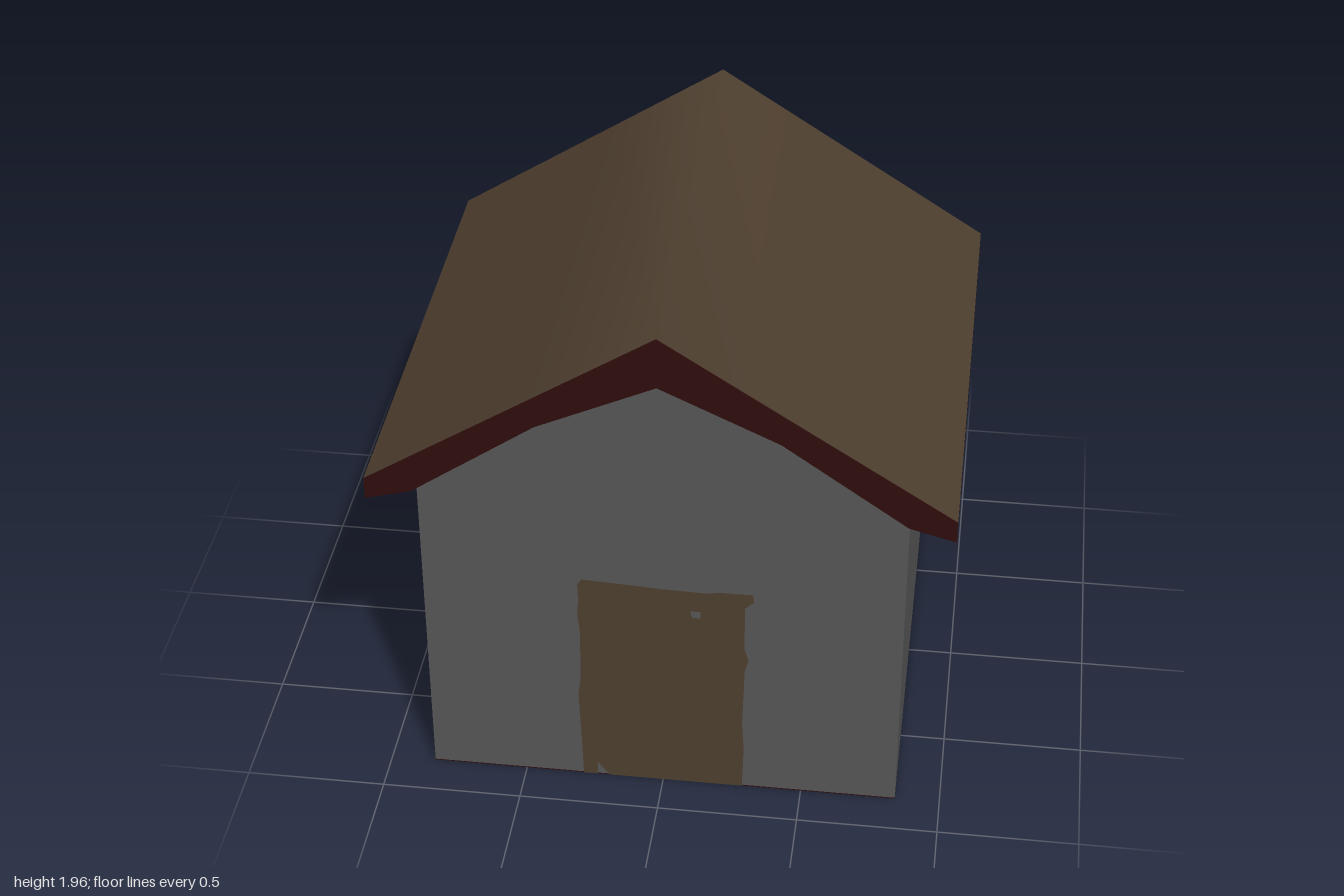
import * as THREE from 'three';

const HALF_WALL = 0.84, WALL_Z = 0.845, ROOF_Z = 0.93, FLOOR = 0.004;

function material(name, color) {
  const m = new THREE.MeshStandardMaterial({ color });
  m.name = name;
  return m;
}

function shapeFrom(points) {
  return new THREE.Shape(points.map(([x, y]) => new THREE.Vector2(x, y)));
}

// Prism with the given front profile, centred on z = 0
function prism(points, halfDepth) {
  return new THREE.ExtrudeGeometry(shapeFrom(points), { depth: halfDepth * 2, bevelEnabled: false })
    .translate(0, 0, -halfDepth);
}

// Upward-facing sheet swept along z, smooth across its folds
function sheet(points, halfDepth) {
  const pos = [], idx = [];
  points.forEach(([x, y], i) => {
    pos.push(x, y, halfDepth, x, y, -halfDepth);
    if (i < points.length - 1) {
      const a = i * 2;
      idx.push(a, a + 2, a + 1, a + 1, a + 2, a + 3);
    }
  });
  const g = new THREE.BufferGeometry();
  g.setAttribute('position', new THREE.Float32BufferAttribute(pos, 3));
  g.setIndex(idx);
  g.computeVertexNormals();
  return g;
}

export function createModel() {
  const house = new THREE.Group();
  house.name = 'house';
  const grey = material('wall grey', 0x575757);
  const brown = material('wood brown', 0x4e3f2f);
  const red = material('dark red', 0x300e0e);
  const add = (name, geometry, mat) => {
    const mesh = new THREE.Mesh(geometry, mat);
    mesh.name = name;
    house.add(mesh);
    return mesh;
  };

  // Walls with a gable that bends halfway up
  const underside = [[HALF_WALL, 1.28], [0.41, 1.58], [0, 1.77], [-0.41, 1.58], [-HALF_WALL, 1.28]];
  add('walls', prism([[-HALF_WALL, FLOOR], [HALF_WALL, FLOOR], ...underside], WALL_Z), grey);

  // Floor plate
  add('floor', new THREE.BoxGeometry(HALF_WALL * 2, FLOOR, WALL_Z * 2).translate(0, FLOOR / 2, 0), red);

  // Roof slab, with its underside following the gable
  add('roofTrim', prism([
    [1, 1.317], [0, 1.957], [-1, 1.317], [-1, 1.237],
    ...underside.slice().reverse(), [1, 1.237],
  ], ROOF_Z), red);

  // Roof covering, softened at the ridge
  add('roofCover', sheet([[-1, 1.32], [-0.42, 1.691], [0, 1.96], [0.42, 1.691], [1, 1.32]], ROOF_Z), brown);

  // Rough-edged door with a knob gap and a chipped lower corner
  const door = shapeFrom([
    [-0.29, 0.002], [-0.24, 0.002], [-0.238, 0.058], [-0.195, 0.002], [0.287, 0.002],
    [0.292, 0.18], [0.285, 0.3], [0.292, 0.54], [0.305, 0.59], [0.29, 0.64],
    [0.29, 0.82], [0.32, 0.85], [0.318, 0.882], [0.2, 0.882], [0.16, 0.874],
    [0, 0.878], [-0.1, 0.884], [-0.28, 0.893], [-0.295, 0.87], [-0.292, 0.8],
    [-0.298, 0.74], [-0.29, 0.66], [-0.292, 0.45], [-0.302, 0.38], [-0.295, 0.18],
  ]);
  door.holes.push(new THREE.Path([[0.1, 0.79], [0.135, 0.79], [0.135, 0.762], [0.105, 0.762]]
    .map(([x, y]) => new THREE.Vector2(x, y))));
  add('door', new THREE.ShapeGeometry(door).translate(0, 0, WALL_Z + 0.003), brown);

  return house;
}
